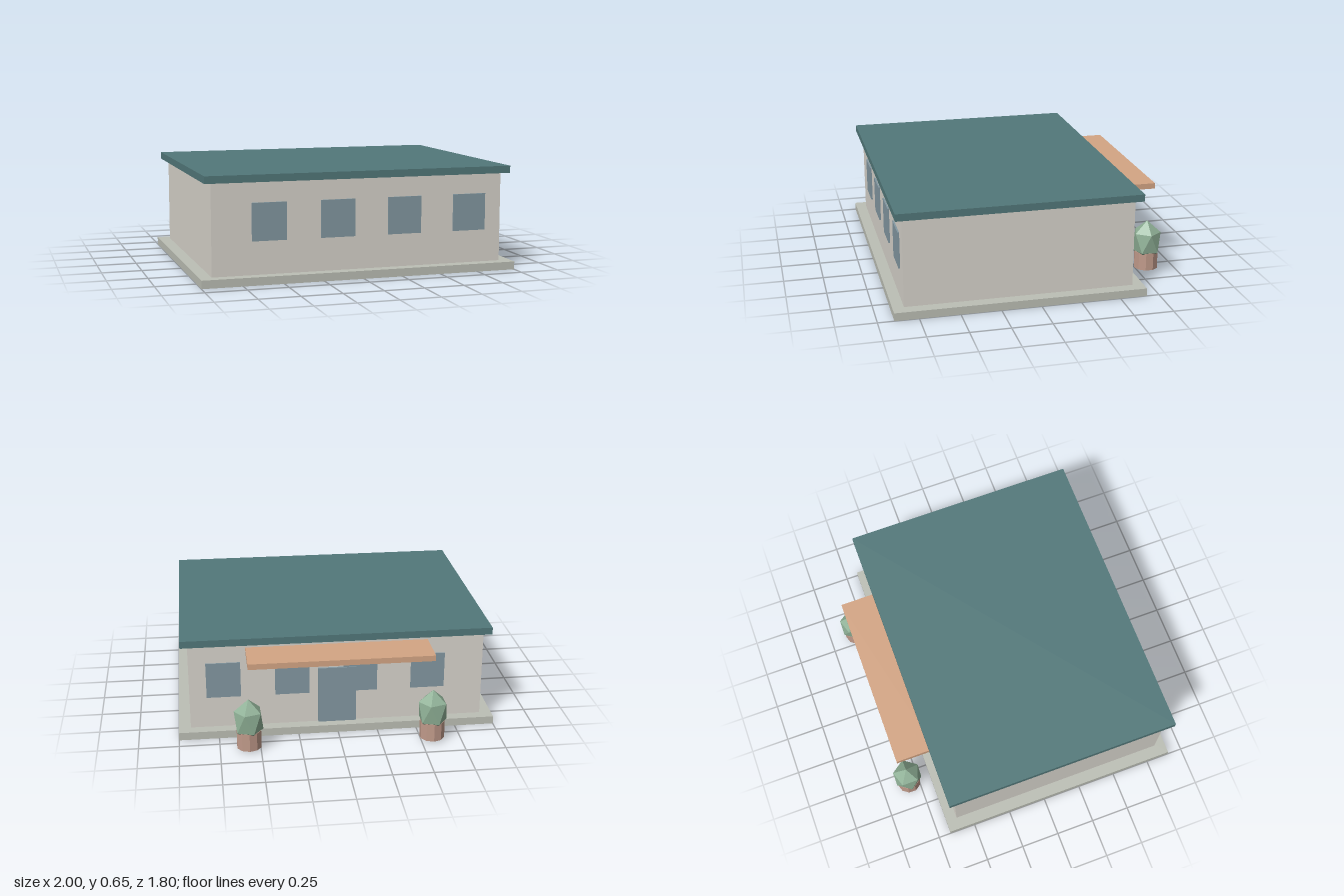
import * as THREE from 'three';

const paint = (color) => new THREE.MeshStandardMaterial({ color, flatShading: true });

export function createModel() {
  const model = new THREE.Group();
  const slabMat = paint(0xbcbfb5), wallMat = paint(0xd8d4cc), roofMat = paint(0x52787a);
  const glassMat = paint(0x8398a2), canopyMat = paint(0xd4a584), trimMat = paint(0x5d9a9a);
  const potMat = paint(0xc09a8a), leafMat = paint(0x8fb096);

  // Box given by its extents along each axis
  function box(name, mat, [x0, x1], [y0, y1], [z0, z1]) {
    const mesh = new THREE.Mesh(new THREE.BoxGeometry(x1 - x0, y1 - y0, z1 - z0), mat);
    mesh.position.set((x0 + x1) / 2, (y0 + y1) / 2, (z0 + z1) / 2);
    mesh.name = name;
    model.add(mesh);
  }

  // Building shell
  box('baseSlab', slabMat, [-1, 1], [0, 0.05], [-0.67, 0.9]);
  box('walls', wallMat, [-0.925, 0.925], [0.05, 0.61], [-0.6, 0.83]);
  box('roof', roofMat, [-0.97, 0.97], [0.61, 0.655], [-0.643, 0.873]);

  // Windows, the same row on the front and the back
  for (let i = 0; i < 4; i++) {
    const x = -0.574 + i * 0.4285;
    const span = [x - 0.107, x + 0.107];
    box('frontWindow', glassMat, span, [0.254, 0.484], [0.82, 0.84]);
    box('backWindow', glassMat, span, [0.254, 0.484], [-0.608, -0.59]);
  }

  // Entrance: door, canopy and the fascia strip below it
  box('door', glassMat, [-0.12, 0.12], [0.05, 0.42], [-0.614, -0.59]);
  box('canopy', canopyMat, [-0.57, 0.57], [0.544, 0.58], [-0.857, -0.6]);
  box('canopyFascia', trimMat, [-0.56, 0.56], [0.478, 0.544], [-0.636, -0.612]);

  // Shrub: icosahedron turned onto one vertex and stretched upwards
  const shrubGeo = new THREE.IcosahedronGeometry(1, 0);
  shrubGeo.rotateZ(-Math.atan(2 / (1 + Math.sqrt(5))));
  shrubGeo.scale(0.1, 0.139, 0.1);
  const potGeo = new THREE.CylinderGeometry(0.078, 0.078, 0.115, 10);

  // Potted shrubs on both sides of the entrance
  for (const side of [-1, 1]) {
    const planter = new THREE.Group();
    planter.name = side > 0 ? 'leftPlanter' : 'rightPlanter';
    const pot = new THREE.Mesh(potGeo, potMat);
    pot.name = 'pot';
    pot.position.y = 0.0695;
    const shrub = new THREE.Mesh(shrubGeo, leafMat);
    shrub.name = 'shrub';
    shrub.position.y = 0.191;
    planter.add(pot, shrub);
    planter.position.set(side * 0.571, 0, -0.815);
    model.add(planter);
  }
  return model;
}
